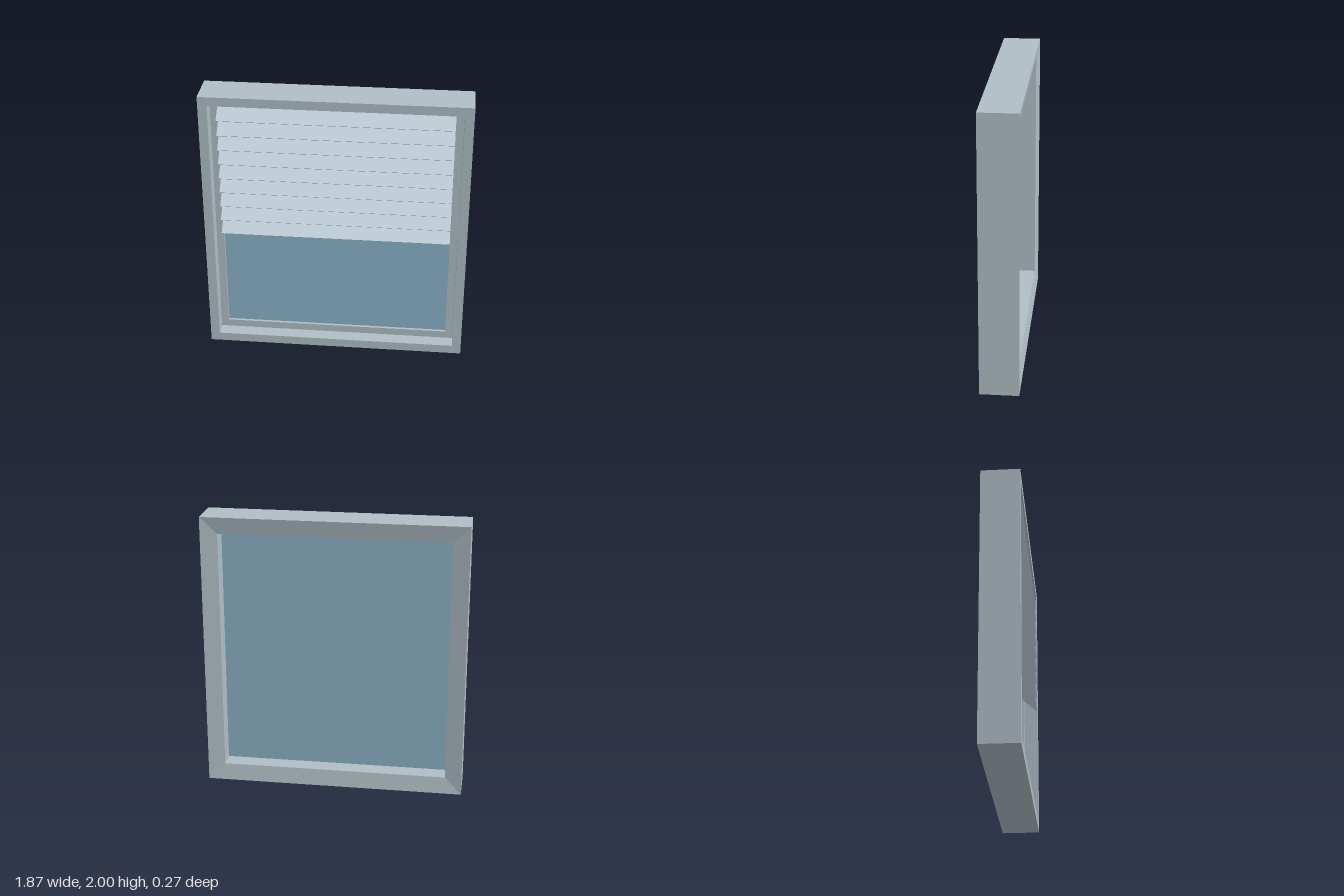
import * as THREE from 'three';

const HALF_W = 0.935, HEIGHT = 2;

// Sweeps a closed [inset, z] profile round a rectangle with mitred corners
function mitredFrame(profile) {
  const rings = profile.map(([inset, z]) => {
    const x = HALF_W - inset, lo = inset, hi = HEIGHT - inset;
    return [[-x, lo, z], [x, lo, z], [x, hi, z], [-x, hi, z]];
  });
  const pos = [];
  rings.forEach((ring, i) => {
    const next = rings[(i + 1) % rings.length];
    for (let k = 0; k < 4; k++) {
      const n = (k + 1) % 4;
      const a = ring[k], b = ring[n], c = next[n], d = next[k];
      pos.push(...a, ...b, ...c, ...a, ...c, ...d);
    }
  });
  const geo = new THREE.BufferGeometry();
  geo.setAttribute('position', new THREE.Float32BufferAttribute(pos, 3));
  geo.computeVertexNormals();
  return geo;
}

export function createModel() {
  const frameMat = new THREE.MeshStandardMaterial({ color: 0xb0bec5 });
  frameMat.name = 'frame grey';
  const glassMat = new THREE.MeshStandardMaterial({ color: 0x8cb3c9 });
  glassMat.name = 'glass blue';
  const slatMat = new THREE.MeshStandardMaterial({ color: 0xc2d1dc });
  slatMat.name = 'slat pale grey';

  const model = new THREE.Group();
  model.name = 'windowWithBlind';
  const add = (parent, name, geo, mat) => {
    const mesh = new THREE.Mesh(geo, mat);
    mesh.name = name;
    parent.add(mesh);
    return mesh;
  };

  // Frame: stepped front rebate, straight reveal, slightly sloping back face
  add(model, 'frame', mitredFrame([
    [0, 0.137], [0.065, 0.137], [0.065, 0.037],
    [0.12, 0.037], [0.12, -0.117], [0, -0.137],
  ]), frameMat);

  // Glass pane
  add(model, 'glass', new THREE.BoxGeometry(1.64, 1.77, 0.008), glassMat)
    .position.set(0, HEIGHT / 2, 0.013);

  // Half-lowered blind: tilted slats, front edges down
  const blind = new THREE.Group();
  blind.name = 'blind';
  model.add(blind);
  const rise = 0.103, run = 0.112, pitch = 0.1108;
  const slatGeo = new THREE.BoxGeometry(1.628, 0.006, Math.hypot(rise, run));
  for (let i = 0; i < 9; i++) {
    const slat = add(blind, 'slat' + (i + 1), slatGeo, slatMat);
    slat.position.set(0, 0.937 + rise / 2 + i * pitch, 0.135 - run / 2);
    slat.rotation.x = Math.atan2(rise, run);
  }
  return model;
}
